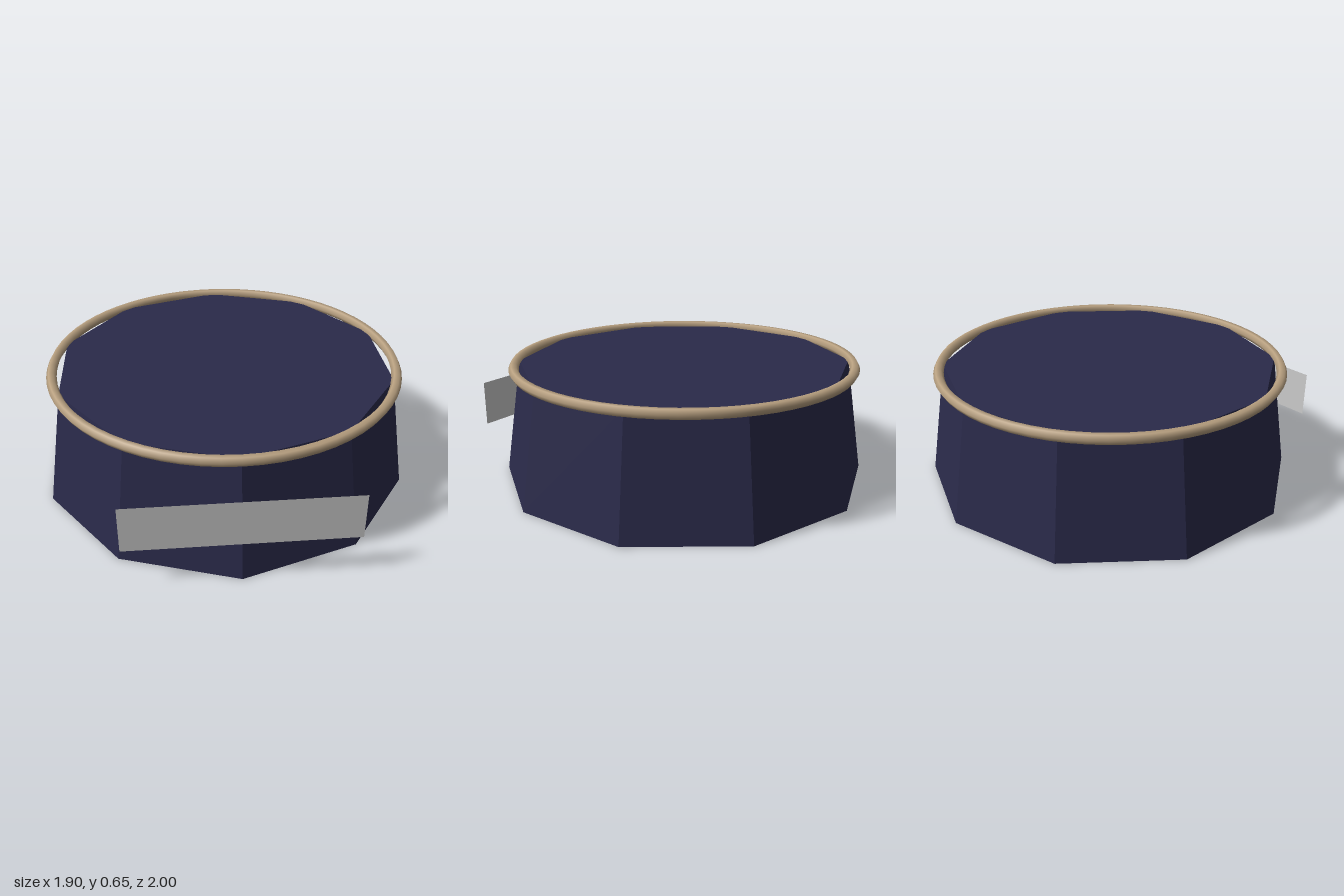
import * as THREE from 'three';

export function createModel() {
  const navy = new THREE.MeshStandardMaterial({ name: 'navy', color: 0x2a2a4a, flatShading: true });
  const tan = new THREE.MeshStandardMaterial({ name: 'tan', color: 0xb8a080 });
  const grey = new THREE.MeshStandardMaterial({ name: 'grey', color: 0xcccccc, side: THREE.DoubleSide });

  const model = new THREE.Group();
  model.name = 'pedestal';

  const add = (name, geometry, material, y, z = 0) => {
    const mesh = new THREE.Mesh(geometry, material);
    mesh.name = name;
    mesh.position.set(0, y, z);
    model.add(mesh);
    return mesh;
  };

  // Tapered ten-sided body with a corner facing the front
  const height = 0.626;
  add('body', new THREE.CylinderGeometry(0.9, 1, height, 10), navy, height / 2);

  // Round trim ring level with the top face
  const ring = new THREE.TorusGeometry(0.913, 0.027, 6, 64).rotateX(Math.PI / 2);
  add('trimRing', ring, tan, height);

  // Blank flat plate standing just in front of the body
  add('namePlate', new THREE.PlaneGeometry(1.125, 0.245), grey, 0.338, 0.997);

  return model;
}
